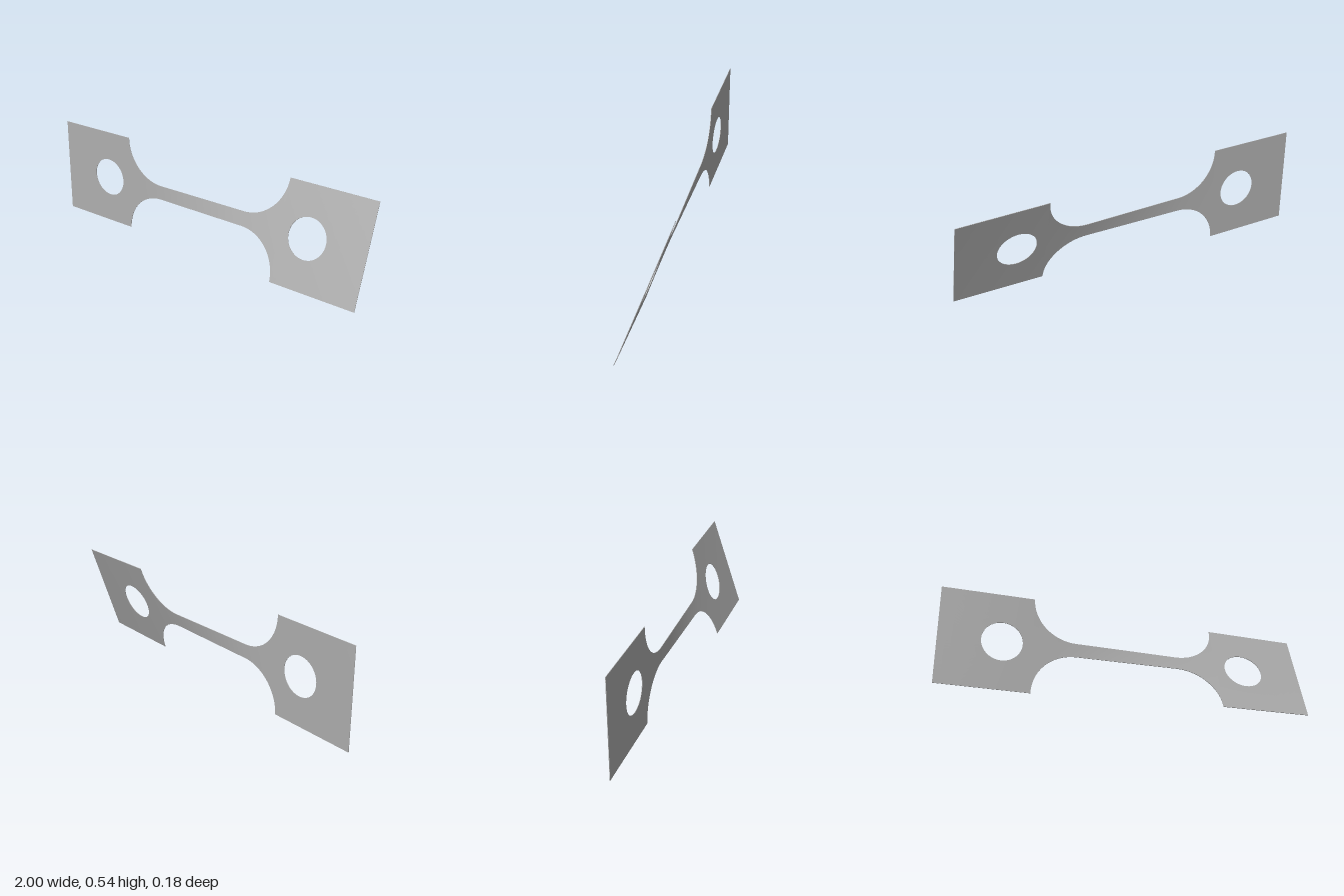
import * as THREE from 'three';

const HALF = 0.271;      // half height of the end tabs
const NECK = 0.039;      // half height of the slender middle
const TAB = 0.51;        // x where the tabs meet the fillets
const THICK = 0.003;
const HOLE = 0.108;

// twist about the long axis: [x, degrees]
const TWIST = [[-1, 0], [-0.51, 0.4], [-0.38, 0.9], [-0.27, 2.4], [0.27, 14.9], [0.38, 16.4], [0.51, 17.2], [1, 18.6]];

function twistAt(x) {
  for (let i = 1; i < TWIST.length; i++) {
    const [x0, a0] = TWIST[i - 1], [x1, a1] = TWIST[i];
    if (x <= x1 || i === TWIST.length - 1) {
      return THREE.MathUtils.degToRad(a0 + (a1 - a0) * (x - x0) / (x1 - x0));
    }
  }
}

// thin plate whose outline comes from map(u, v) -> [x, y], then twisted
function plate(name, nu, nv, map, material) {
  const geo = new THREE.BoxGeometry(1, 1, THICK, nu, nv, 1);
  // leave out the two end walls, which are inside the joined plate
  geo.setIndex(Array.from(geo.index.array).slice(2 * nv * 6));
  geo.clearGroups();
  const p = geo.attributes.position;
  for (let i = 0; i < p.count; i++) {
    const [x, y] = map(p.getX(i) + 0.5, p.getY(i) + 0.5);
    const z = p.getZ(i), a = twistAt(x);
    p.setXYZ(i, x, HALF + y * Math.cos(a) + z * Math.sin(a), z * Math.cos(a) - y * Math.sin(a));
  }
  geo.computeVertexNormals();
  const mesh = new THREE.Mesh(geo, material);
  mesh.name = name;
  return mesh;
}

// rectangular tab as a ring running from the round hole to the outer edge
function tab(name, side, material) {
  const cx = side * (1 + TAB) / 2, hw = (1 - TAB) / 2, holeX = side * 0.67;
  return plate(name, 96, 6, (u, v) => {
    const t = -2 * Math.PI * u, c = Math.cos(t), s = Math.sin(t);
    const m = Math.max(Math.abs(c), Math.abs(s));
    const x0 = holeX + HOLE * c, y0 = HOLE * s;
    const x1 = cx + hw * c / m, y1 = HALF * s / m;
    return [x0 + (x1 - x0) * v, y0 + (y1 - y0) * v];
  }, material);
}

export function createModel() {
  const group = new THREE.Group();
  group.name = 'twistedTestSpecimen';
  const metal = new THREE.MeshStandardMaterial({ color: 0xb0b0b0 });
  metal.name = 'grey metal';

  group.add(tab('leftTab', 1, metal), tab('rightTab', -1, metal));

  // neck with a quarter-round fillet at each end
  const R = HALF - NECK, straight = TAB - R;
  group.add(plate('neck', 72, 6, (u, v) => {
    const k = (u - 0.5) * 2, side = Math.sign(k), d = Math.abs(k);
    let x = straight * d * 2, h = NECK;
    if (d > 0.5) {
      const a = (d - 0.5) * Math.PI;
      x = straight + R * Math.sin(a);
      h = HALF - R * Math.cos(a);
    }
    return [side * x, (v - 0.5) * 2 * h];
  }, metal));

  return group;
}
